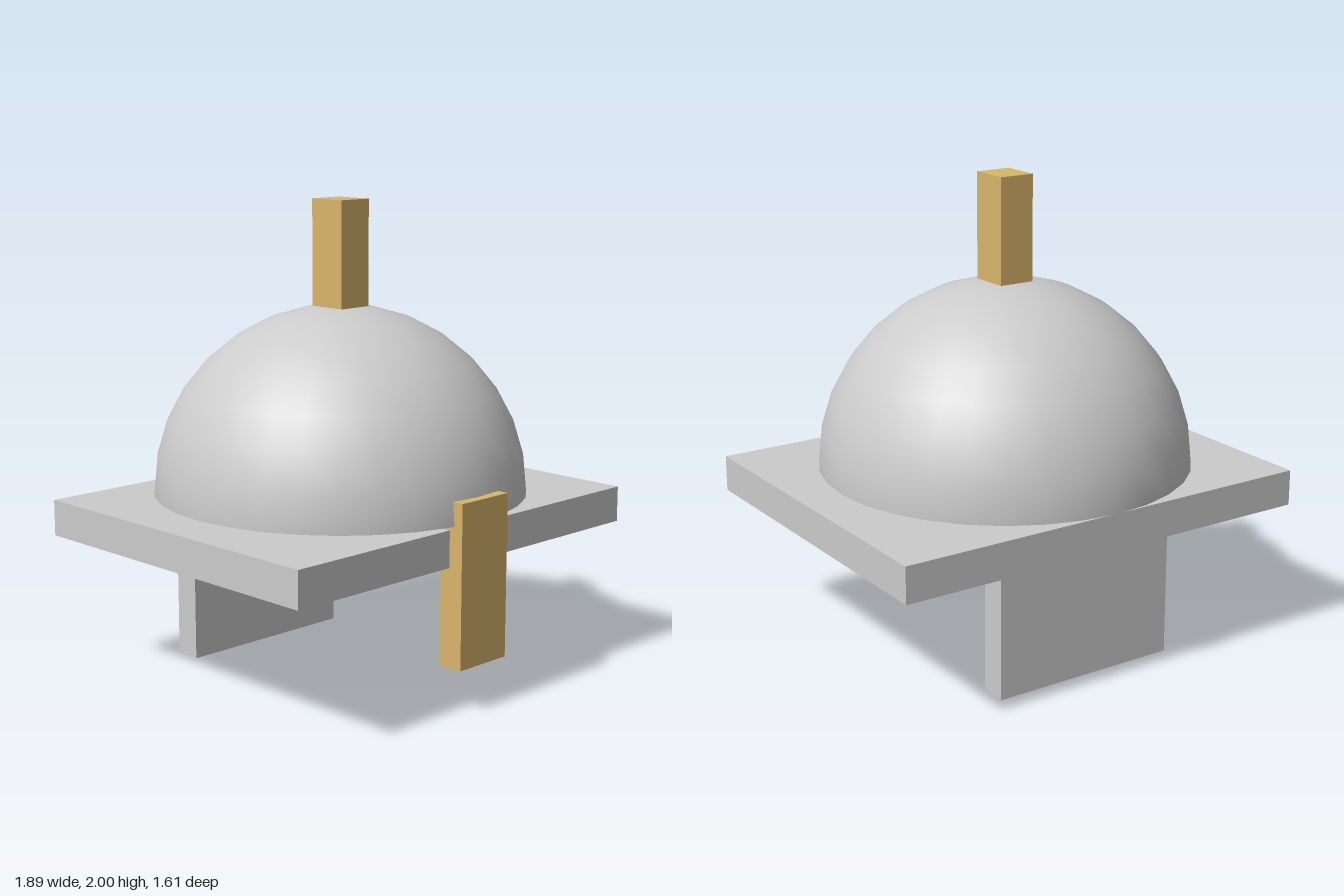
import * as THREE from 'three';

export function createModel() {
  const model = new THREE.Group();
  const grey = new THREE.MeshStandardMaterial({ color: 0xcccccc });
  const shell = new THREE.MeshStandardMaterial({ color: 0xcccccc, side: THREE.DoubleSide });
  const amber = new THREE.MeshStandardMaterial({ color: 0xd9b56c });

  // Box given by its extents on each axis
  function block(name, material, [x0, x1], [y0, y1], [z0, z1]) {
    const mesh = new THREE.Mesh(new THREE.BoxGeometry(x1 - x0, y1 - y0, z1 - z0), material);
    mesh.position.set((x0 + x1) / 2, (y0 + y1) / 2, (z0 + z1) / 2);
    mesh.name = name;
    model.add(mesh);
  }

  block('rearSupport', grey, [-0.417, 0.417], [0, 0.6], [-0.6, -0.485]);
  block('baseSlab', grey, [-0.945, 0.945], [0.6, 0.753], [-0.76, 0.74]);
  block('frontTab', amber, [-0.134, 0.134], [0.19, 0.87], [0.693, 0.805]);
  block('topPost', amber, [-0.078, 0.078], [1.555, 2], [-0.097, 0.077]);

  // Open hemispherical shell, floating just above the slab
  const dome = new THREE.Mesh(
    new THREE.SphereGeometry(0.79, 32, 8, 0, Math.PI * 2, 0, Math.PI / 2), shell);
  dome.position.set(0, 0.772, -0.012);
  dome.name = 'dome';
  model.add(dome);

  return model;
}
